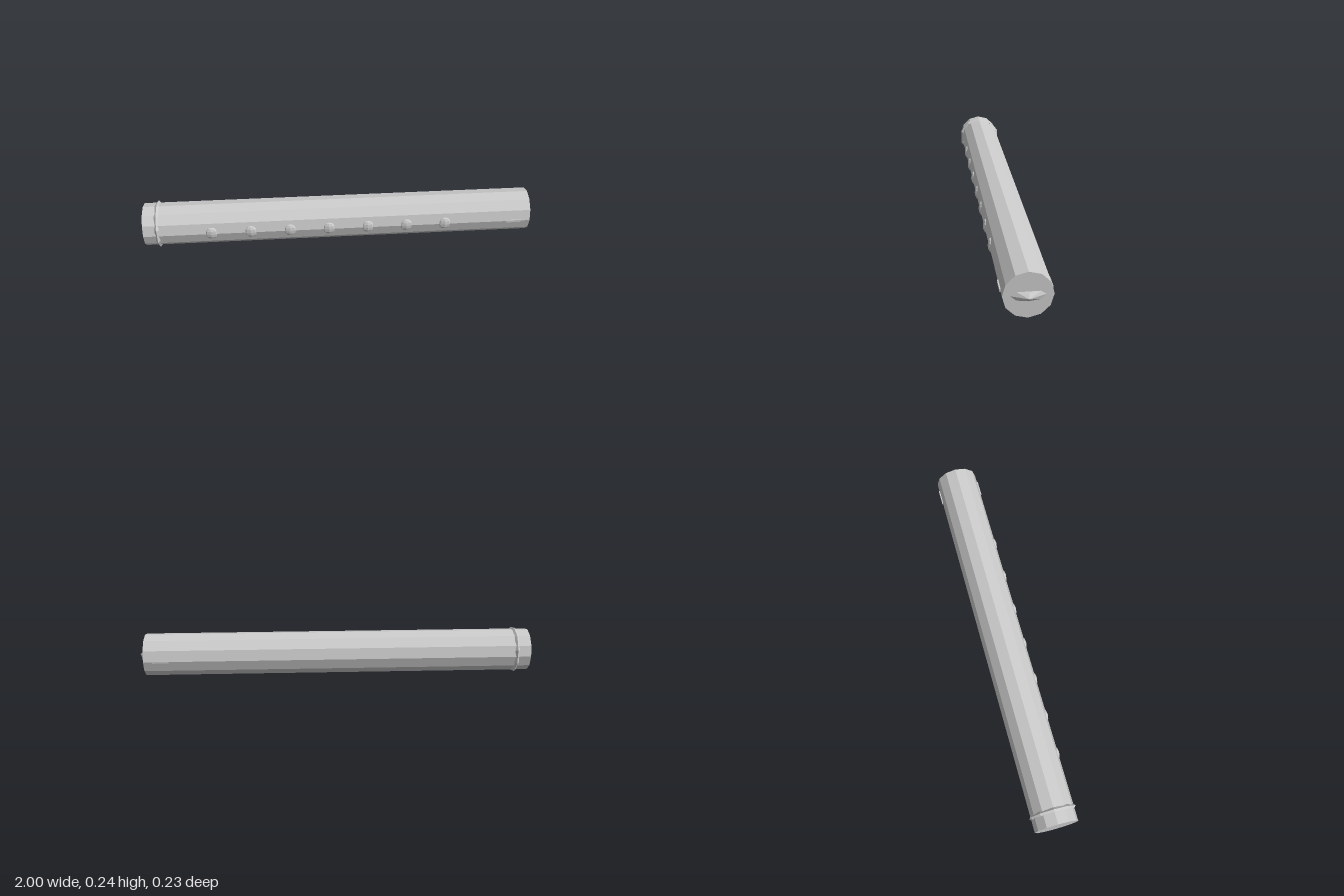
import * as THREE from 'three';
import { ConvexGeometry } from 'three/addons/geometries/ConvexGeometry.js';

const R = 0.108, CY = 0.119, END = 0.967;

export function createModel() {
  const group = new THREE.Group();
  const material = new THREE.MeshStandardMaterial({ color: 0xcccccc, flatShading: true });
  const add = (name, geometry, x, y = CY, z = 0) => {
    const mesh = new THREE.Mesh(geometry, material);
    mesh.name = name;
    mesh.position.set(x, y, z);
    group.add(mesh);
    return mesh;
  };

  // Twelve-sided rod lying along x
  add('body', new THREE.CylinderGeometry(R, R, END + 1, 12).rotateZ(Math.PI / 2), (END - 1) / 2);

  // Thin ten-sided band, partly sunk into the rod
  const band = new THREE.TorusGeometry(R, 0.011, 4, 10);
  band.rotateZ(Math.PI / 2).rotateY(Math.PI / 2);
  add('band', band, -0.93);

  // Row of seven flattened studs along the front
  const stud = new THREE.SphereGeometry(0.034, 8, 6).scale(1, 1, 0.43);
  for (let i = 0; i < 7; i++) add('stud' + (i + 1), stud, -0.66 + i * 0.1975, CY, 0.1);

  // Small flat slide on each side near the end
  for (const s of [1, -1]) {
    add(s > 0 ? 'frontSlide' : 'backSlide', new THREE.BoxGeometry(0.08, 0.012, 0.02), 0.88, CY, s * 0.102);
  }

  // Ridged, peaked grip on the end cap
  const points = [new THREE.Vector3(0.033, 0, 0)];
  for (const s of [1, -1]) {
    points.push(new THREE.Vector3(0, 0, s * 0.075), new THREE.Vector3(0.016, s * 0.0195, 0));
    for (const t of [1, -1]) points.push(new THREE.Vector3(0.005, s * 0.0195, t * 0.05));
  }
  points.push(new THREE.Vector3(-0.01, 0, 0));
  add('endGrip', new ConvexGeometry(points), END);

  return group;
}
